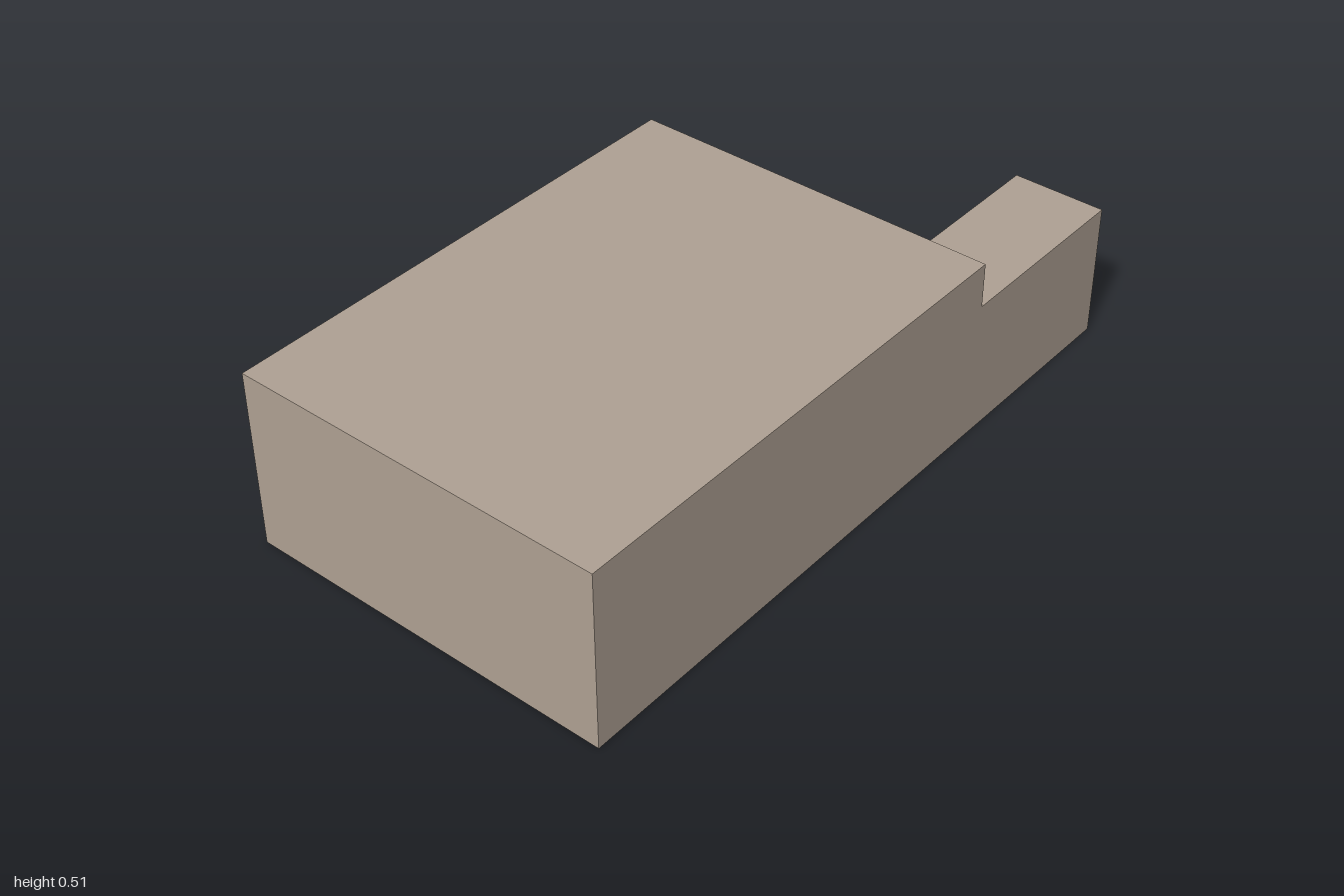
import * as THREE from 'three';

// Main dimensions of the hollow L-shaped building shell
const X0 = -1, XS = 0.44, X1 = 1;      // left end, step, wing end
const Z = 0.533, ZW = 0.268;           // half depth, back of the wing
const H = 0.512, HW = 0.385;           // main roof and wing roof heights

const shapeOf = (pts) => new THREE.Shape(pts.map(([a, b]) => new THREE.Vector2(a, b)));
const rect = (a0, b0, a1, b1) => [[a0, b0], [a1, b0], [a1, b1], [a0, b1]];

export function createModel() {
  const group = new THREE.Group();
  group.name = 'building';
  const plaster = new THREE.MeshStandardMaterial({ color: 0xb0a294, side: THREE.DoubleSide });
  plaster.name = 'warm grey plaster';

  // A flat panel; its outline is drawn in x/y, then turned into place
  function panel(name, shape, place) {
    const geometry = new THREE.ShapeGeometry(shape);
    place(geometry);
    const mesh = new THREE.Mesh(geometry, plaster);
    mesh.name = name;
    group.add(mesh);
  }
  const facingFront = (z) => (g) => g.translate(0, 0, z);
  const facingBack = (z) => (g) => g.rotateY(Math.PI).translate(0, 0, z);   // outline uses -x
  const facingRight = (x) => (g) => g.rotateY(Math.PI / 2).translate(x, 0, 0); // outline uses -z
  const facingLeft = (x) => (g) => g.rotateY(-Math.PI / 2).translate(x, 0, 0); // outline uses z
  const facingUp = (y) => (g) => g.rotateX(-Math.PI / 2).translate(0, y, 0);   // outline uses -z
  const facingDown = (y) => (g) => g.rotateX(Math.PI / 2).translate(0, y, 0);  // outline uses z

  // Stepped front wall and L-shaped floor run across both volumes
  panel('frontWall', shapeOf([[X0, 0], [X1, 0], [X1, HW], [XS, HW], [XS, H], [X0, H]]), facingFront(Z));
  panel('floor', shapeOf([[X0, -Z], [XS, -Z], [XS, ZW], [X1, ZW], [X1, Z], [X0, Z]]), facingDown(0));

  // Main volume; the inner side wall is left open where the wing joins
  panel('mainRoof', shapeOf(rect(X0, -Z, XS, Z)), facingUp(H));
  panel('outerSideWall', shapeOf(rect(-Z, 0, Z, H)), facingLeft(X0));
  panel('innerSideWall', shapeOf([[-ZW, 0], [Z, 0], [Z, H], [-Z, H], [-Z, HW], [-ZW, HW]]), facingRight(XS));

  // Back wall with two window openings
  const backWall = shapeOf(rect(-XS, 0, -X0, H));
  for (const a of [-0.313, 0.353]) {
    backWall.holes.push(new THREE.Path(
      rect(a, 0.118, a + 0.52, 0.452).reverse().map(([x, y]) => new THREE.Vector2(x, y))));
  }
  panel('backWall', backWall, facingBack(-Z));

  // Low wing
  panel('wingRoof', shapeOf(rect(XS, -Z, X1, -ZW)), facingUp(HW));
  panel('wingEndWall', shapeOf(rect(-Z, 0, -ZW, HW)), facingRight(X1));
  panel('wingBackWall', shapeOf(rect(-X1, 0, -XS, HW)), facingBack(ZW));

  return group;
}
